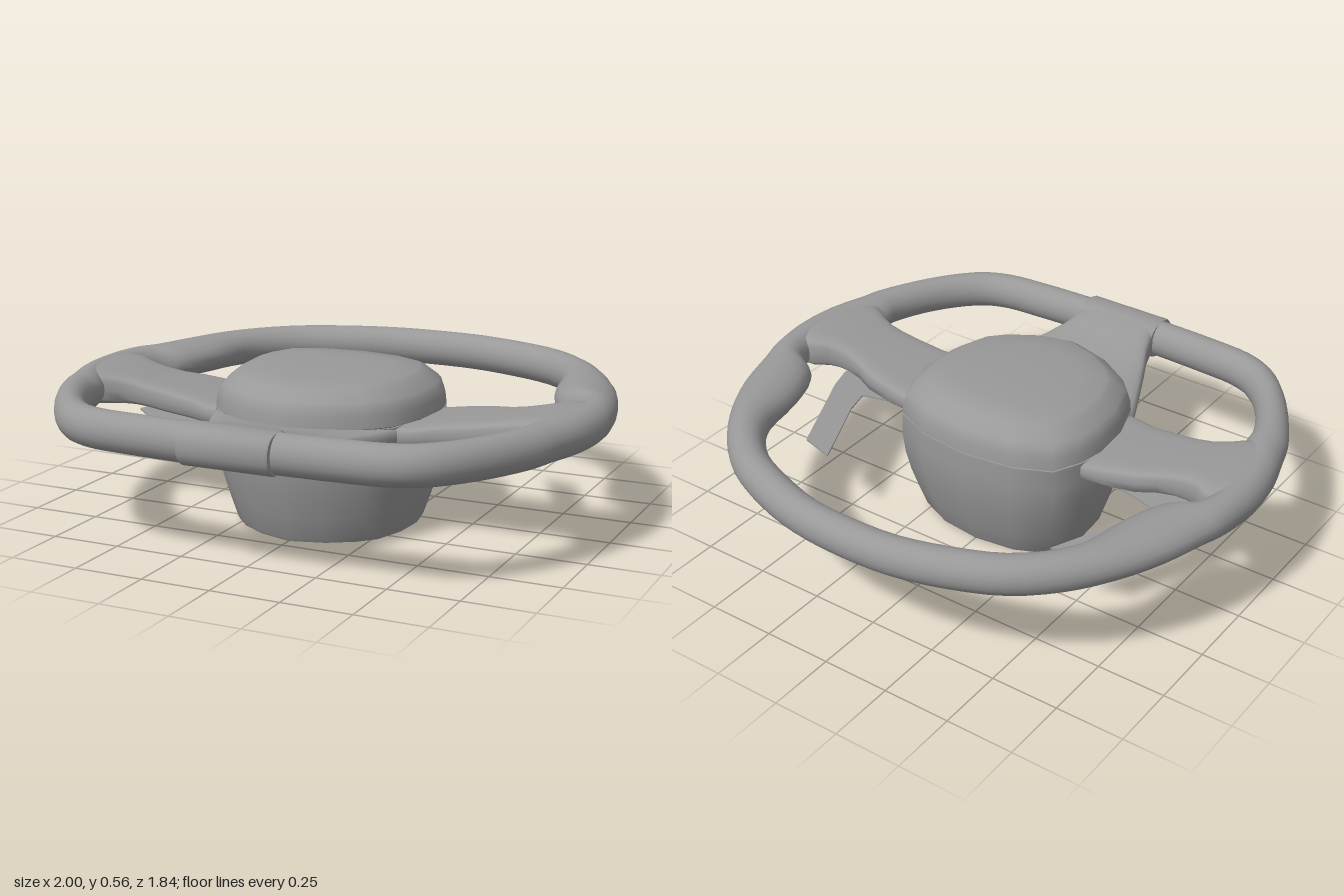
import * as THREE from 'three';
import { toCreasedNormals } from 'three/addons/utils/BufferGeometryUtils.js';

const grey = new THREE.MeshStandardMaterial({ color: 0x999999 });
const V = (x, y, z) => new THREE.Vector3(x, y, z);

// Skin a row of equal-length rings; ends are capped unless the row is a closed loop.
function loft(name, rings, { closed = false, crease = 1 } = {}) {
  const n = rings[0].length, m = rings.length;
  const pts = rings.flat(), index = [];
  for (let i = 0; i < (closed ? m : m - 1); i++) {
    for (let j = 0; j < n; j++) {
      const a = i * n + j, b = i * n + (j + 1) % n;
      const c = ((i + 1) % m) * n + j, d = ((i + 1) % m) * n + (j + 1) % n;
      index.push(a, b, d, a, d, c);
    }
  }
  if (!closed) {
    for (const [r, flip] of [[0, true], [m - 1, false]]) {
      const centre = rings[r].reduce((s, p) => s.add(p), V(0, 0, 0)).divideScalar(n);
      const k = pts.push(centre) - 1;
      for (let j = 0; j < n; j++) {
        const a = r * n + j, b = r * n + (j + 1) % n;
        index.push(k, flip ? b : a, flip ? a : b);
      }
    }
  }
  // Turn the faces outward if the enclosed volume comes out negative
  let volume = 0;
  for (let i = 0; i < index.length; i += 3) {
    volume += pts[index[i]].dot(pts[index[i + 1]].clone().cross(pts[index[i + 2]]));
  }
  if (volume < 0) index.reverse();
  const geo = new THREE.BufferGeometry().setFromPoints(pts);
  geo.setIndex(index);
  const mesh = new THREE.Mesh(toCreasedNormals(geo, crease), grey);
  mesh.name = name;
  return mesh;
}

// Rounded-box cross-section: calls at(u, v) with u and v in -1..1
function roundedRing(at, power = 0.4, count = 28) {
  const soft = (t) => Math.sign(t) * Math.abs(t) ** power;
  return Array.from({ length: count }, (_, i) => {
    const a = (i / count) * Math.PI * 2;
    return at(soft(Math.cos(a)), soft(Math.sin(a)));
  });
}

// Rim: outer and inner outline points (outer x, z, inner x, z), back to front
const rimHalf = [
  [0, -.922, 0, -.797], [.2, -.908, .17, -.787], [.39, -.858, .34, -.737],
  [.57, -.775, .5, -.665], [.71, -.655, .615, -.555], [.82, -.51, .66, -.46],
  [.905, -.345, .685, -.31], [.957, -.18, .75, -.15], [.973, -.12, .82, -.105],
  [.987, -.04, .855, -.05], [.998, .07, .86, .07], [.982, .22, .85, .22],
  [.943, .36, .79, .36], [.92, .435, .783, .42], [.85, .575, .735, .54],
  [.752, .722, .66, .65], [.655, .82, .58, .72], [.55, .867, .5, .75],
  [.4, .885, .38, .76], [.17, .895, .17, .77], [0, .897, 0, .77],
];

function makeRim() {
  const mirrored = rimHalf.slice(1, -1).reverse().map(([a, b, c, d]) => [-a, b, -c, d]);
  const all = [...rimHalf, ...mirrored];
  const outer = new THREE.CatmullRomCurve3(all.map((p) => V(p[0], .425, p[1])), true);
  const inner = new THREE.CatmullRomCurve3(all.map((p) => V(p[2], .425, p[3])), true);
  const rings = [];
  for (let i = 0; i < 120; i++) {
    const o = outer.getPoint(i / 120), q = inner.getPoint(i / 120);
    rings.push(roundedRing((u, v) => {
      const p = o.clone().lerp(q, (1 - u) / 2);
      p.y += v * .069;
      return p;
    }, 1, 20));
  }
  return loft('rim', rings, { closed: true, crease: 1.5 });
}

// Hub outline, right half from back to front
const hubHalf = [
  [0, -.23], [.19, -.206], [.325, -.145], [.375, -.04], [.392, .05], [.381, .2],
  [.335, .34], [.27, .41], [.155, .482], [0, .527],
];
const hubOutline = [...hubHalf, ...hubHalf.slice(1, -1).reverse().map(([x, z]) => [-x, z])];

// Stacked hub rings from [height, scale, tilt]
const hubRings = (levels) => levels.map(([y, s, tilt = 0]) =>
  hubOutline.map(([x, z]) => V(x * s, y - tilt * (z - .15) * s, .148 + (z - .148) * s)));

// Side spoke sections: x, back z, front z, bottom y, top y
const sideSpoke = [
  [.28, -.05, .34, .337, .412], [.39, -.05, .33, .337, .412], [.47, -.045, .302, .338, .425],
  [.58, -.03, .295, .348, .44], [.65, -.002, .292, .358, .45], [.71, .01, .294, .363, .462],
  [.76, .008, .31, .365, .473], [.8, -.005, .335, .365, .481], [.85, -.035, .36, .362, .488],
  [.89, -.035, .34, .359, .4915], [.93, .02, .27, .359, .4915],
];

// Bottom spoke sections: z, half width, bottom y, top y
const bottomSpoke = [
  [.2, .38, .335, .416], [.34, .35, .335, .416], [.42, .315, .336, .416], [.52, .27, .343, .422],
  [.62, .225, .351, .437], [.7, .187, .355, .462], [.76, .168, .357, .484], [.82, .162, .358, .492],
];

// Shift paddle outline in plan (x, z)
const paddle = [
  [.48, -.392], [.61, -.355], [.77, 0], [.8, .1], [.64, .25], [.3, .25], [.3, .03],
  [.52, .03], [.635, 0], [.61, -.1],
];

function makePaddle(side) {
  const shape = new THREE.Shape(paddle.map(([x, z]) => new THREE.Vector2(side * x, -z)));
  const geo = new THREE.ExtrudeGeometry(shape, { depth: .006, bevelEnabled: false });
  geo.rotateX(-Math.PI / 2).translate(0, .299, 0);
  const mesh = new THREE.Mesh(geo, grey);
  mesh.name = side > 0 ? 'leftPaddle' : 'rightPaddle';
  return mesh;
}

export function createModel() {
  const wheel = new THREE.Group();
  wheel.name = 'steeringWheel';
  wheel.add(makeRim());

  // Hub: tapered column housing with a bevelled cover on top
  wheel.add(loft('columnHousing', hubRings([
    [0, .8], [.012, .818], [.09, .885], [.17, .947], [.25, .99], [.33, 1.012], [.41, 1.005],
  ])));
  wheel.add(loft('hubCover', hubRings([
    [.405, .96], [.415, 1.005], [.455, .995], [.485, .97], [.5, .94], [.537, .82, .01],
    [.546, .775, .015], [.554, .55, .02], [.558, .25, .02],
  ])));

  // Spokes and paddles on both sides
  for (const side of [1, -1]) {
    wheel.add(loft(side > 0 ? 'leftSpoke' : 'rightSpoke', sideSpoke.map(([x, z0, z1, y0, y1]) =>
      roundedRing((u, v) => V(side * x, (y0 + y1) / 2 + v * (y1 - y0) / 2,
        (z0 + z1) / 2 + u * (z1 - z0) / 2)))));
    wheel.add(makePaddle(side));
  }

  // Bottom spoke and the sleeve that clasps the rim
  wheel.add(loft('bottomSpoke', bottomSpoke.map(([z, w, y0, y1]) =>
    roundedRing((u, v) => V(u * w, (y0 + y1) / 2 + v * (y1 - y0) / 2, z)))));
  wheel.add(loft('rimSleeve', [[-.165, .95], [-.158, 1], [.158, 1], [.165, .95]].map(([x, s]) =>
    roundedRing((u, v) => V(x, .425 + v * .072 * s, .835 + u * .081 * s), .85, 24)), { crease: .7 }));

  return wheel;
}
